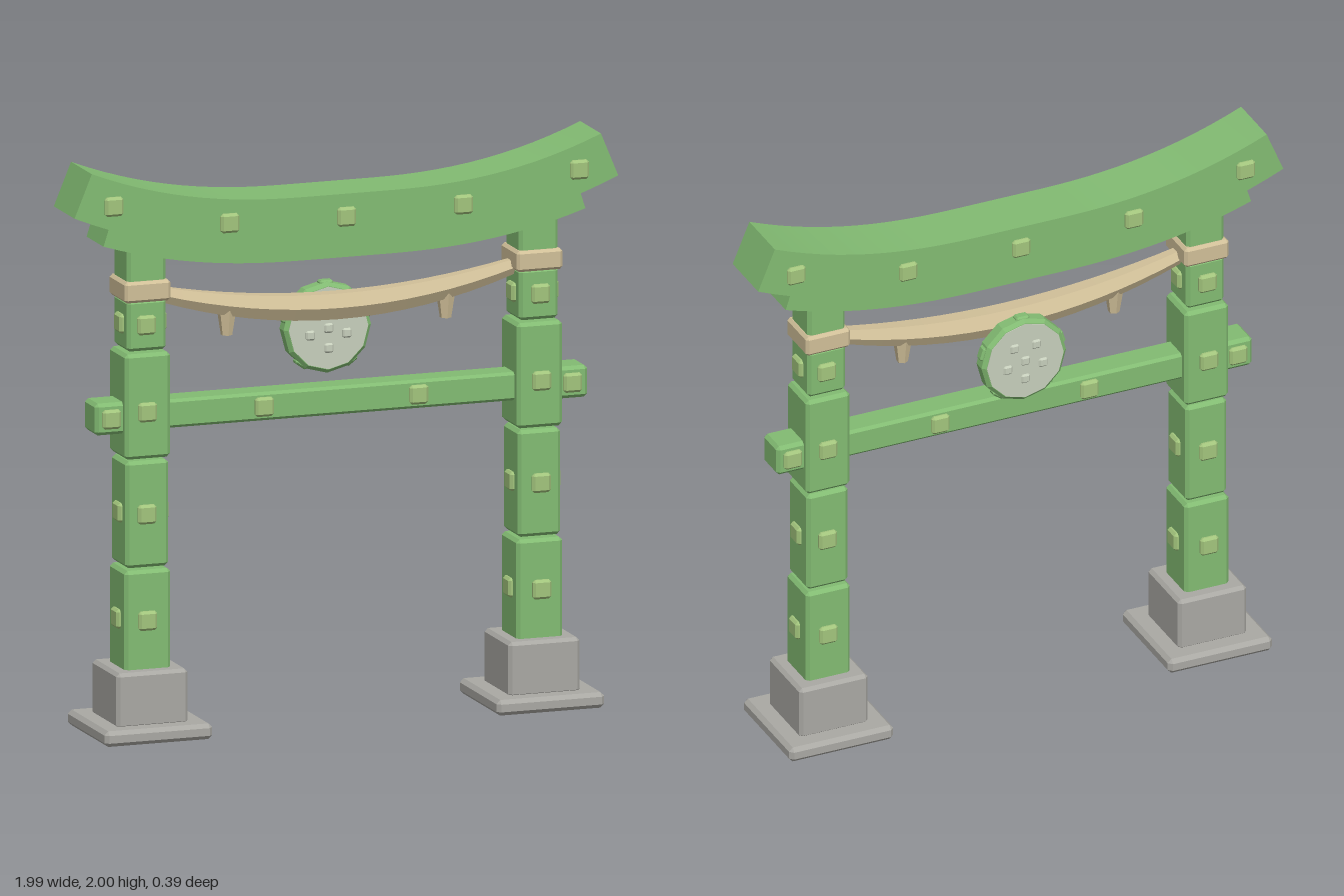
import * as THREE from 'three';
import { ConvexGeometry } from 'three/addons/geometries/ConvexGeometry.js';
import { toCreasedNormals } from 'three/addons/utils/BufferGeometryUtils.js';

const mat = (color) => new THREE.MeshStandardMaterial({ color, flatShading: true });

// Box with all twelve edges cut at 45 degrees
function chamferBox(w, h, d, c) {
  const pts = [];
  for (const x of [-w / 2, w / 2]) for (const y of [-h / 2, h / 2]) for (const z of [-d / 2, d / 2]) {
    const sx = Math.sign(x) * c, sy = Math.sign(y) * c, sz = Math.sign(z) * c;
    pts.push(new THREE.Vector3(x, y - sy, z - sz), new THREE.Vector3(x - sx, y, z - sz), new THREE.Vector3(x - sx, y - sy, z));
  }
  return new ConvexGeometry(pts);
}

// Height rising from a flat middle towards the ends
const upsweep = (x, mid, rise, end) =>
  mid + rise * Math.pow(Math.max(0, Math.abs(x) - 0.15) / (end - 0.15), 2.3);

// Beam with curved top and bottom edges, extruded through its depth
function curvedBeam(top, bottom, depth) {
  const N = 32, pts = [];
  for (let i = 0; i <= N; i++) {
    const x = bottom.end * (2 * i / N - 1);
    pts.push(new THREE.Vector2(x, upsweep(x, bottom.mid, bottom.rise, bottom.end)));
  }
  for (let i = N; i >= 0; i--) {
    const x = top.end * (2 * i / N - 1);
    pts.push(new THREE.Vector2(x, upsweep(x, top.mid, top.rise, top.end)));
  }
  const geo = new THREE.ExtrudeGeometry(new THREE.Shape(pts), { depth, bevelEnabled: false });
  geo.translate(0, 0, -depth / 2);
  return toCreasedNormals(geo, 0.5);
}

export function createModel() {
  const root = new THREE.Group();
  root.name = 'gate';
  const green = mat(0x82bb72), lime = mat(0xa2c47c), stone = mat(0xa9a8a3);
  const straw = mat(0xd0bf98), pale = mat(0xc6cebb);
  const smoothGreen = new THREE.MeshStandardMaterial({ color: 0x82bb72 });

  const add = (name, geo, material, x, y, z, parent = root) => {
    const m = new THREE.Mesh(geo, material);
    m.name = name;
    m.position.set(x, y, z);
    parent.add(m);
    return m;
  };
  const studGeo = chamferBox(0.068, 0.068, 0.03, 0.009);
  // Pair of studs on the front and back
  const studs = (x, y, z, parent = root) => {
    for (const s of [1, -1]) add('stud', studGeo, lime, x, y, s * z, parent);
  };

  // Pillars on stone bases: [bottom, top, width]
  const segments = [[0.22, 0.587, 0.168], [0.595, 0.97, 0.156], [0.978, 1.348, 0.166], [1.355, 1.535, 0.144], [1.52, 1.76, 0.142]];
  for (const s of [1, -1]) {
    const pillar = new THREE.Group();
    pillar.name = s > 0 ? 'leftPillar' : 'rightPillar';
    pillar.position.x = s * 0.716;
    root.add(pillar);
    add('footSlab', chamferBox(0.394, 0.055, 0.394, 0.014), stone, 0, 0.0275, 0, pillar);
    add('plinth', chamferBox(0.26, 0.195, 0.26, 0.012), stone, 0, 0.1425, 0, pillar);
    for (const [a, b, w] of segments)
      add('pillarSegment', chamferBox(w, b - a, w, 0.012), green, 0, (a + b) / 2, 0, pillar);
    for (const [y, half] of [[0.41, 0.084], [0.783, 0.078], [1.143, 0.083], [1.447, 0.072]]) {
      studs(s * 0.004, y, half, pillar);
      if (y === 1.143) continue;
      for (const side of [1, -1])
        add('sideStud', studGeo, lime, side * half, y, 0.004, pillar).rotation.y = Math.PI / 2;
    }
    add('ropeBand', chamferBox(0.168, 0.074, 0.168, 0.01), straw, 0, 1.565, 0, pillar);
  }

  // Tie beam with thicker ends
  add('tieBeam', chamferBox(1.5, 0.1, 0.105, 0.01), green, 0, 1.122, 0);
  for (const s of [1, -1]) {
    add('tieBeamEnd', chamferBox(0.16, 0.112, 0.118, 0.012), green, s * 0.82, 1.122, 0);
    studs(s * 0.842, 1.122, 0.058);
    studs(s * 0.282, 1.122, 0.052);
  }

  // Curved top lintels
  add('upperLintel', curvedBeam({ mid: 1.86, rise: 0.14, end: 0.93 }, { mid: 1.69, rise: 0.158, end: 0.993 }, 0.208), smoothGreen, 0, 0, 0);
  add('lowerLintel', curvedBeam({ mid: 1.70, rise: 0.10, end: 0.86 }, { mid: 1.633, rise: 0.104, end: 0.88 }, 0.17), smoothGreen, 0, 0, 0);
  for (const [x, y] of [[-0.85, 1.88], [-0.427, 1.79], [0, 1.78], [0.427, 1.79], [0.85, 1.88]]) studs(x, y, 0.103);

  // Sagging rope, thickest in the middle
  const rope = new THREE.CylinderGeometry(1, 1, 1.3, 6, 16);
  rope.rotateZ(Math.PI / 2);
  const p = rope.attributes.position;
  for (let i = 0; i < p.count; i++) {
    const t = (p.getX(i) / 0.65) ** 2, r = 0.052 - 0.022 * t;
    p.setY(i, 1.447 + 0.09 * t + p.getY(i) * r);
    p.setZ(i, p.getZ(i) * r);
  }
  add('rope', rope, straw, 0, 0, 0);
  for (const s of [1, -1]) add('tassel', new THREE.CylinderGeometry(0.034, 0.02, 0.09, 6), straw, s * 0.4, 1.418, 0);

  // Round emblem behind the rope
  const disc = new THREE.Group();
  disc.name = 'disc';
  disc.position.set(0, 1.35, -0.108);
  root.add(disc);
  const rim = [[0, -0.032], [0.147, -0.032], [0.16, -0.02], [0.16, 0.02], [0.147, 0.032], [0, 0.032]];
  add('discRim', new THREE.LatheGeometry(rim.map(([r, y]) => new THREE.Vector2(r, y)), 12), green, 0, 0, 0, disc).rotation.x = Math.PI / 2;
  add('discFace', new THREE.CylinderGeometry(0.145, 0.145, 0.068, 12), pale, 0, 0, 0, disc).rotation.x = Math.PI / 2;
  const nub = chamferBox(0.034, 0.034, 0.082, 0.006);
  add('discNub', nub, pale, 0, 0, 0, disc);
  for (let k = 0; k < 5; k++) {
    const a = -Math.PI / 2 + k * Math.PI * 0.4;
    add('discNub', nub, pale, 0.07 * Math.cos(a), 0.07 * Math.sin(a), 0, disc);
    const b = a + Math.PI;
    add('rimStud', chamferBox(0.02, 0.05, 0.036, 0.006), green, 0.154 * Math.cos(b), 0.154 * Math.sin(b), 0, disc).rotation.z = b;
  }
  return root;
}
